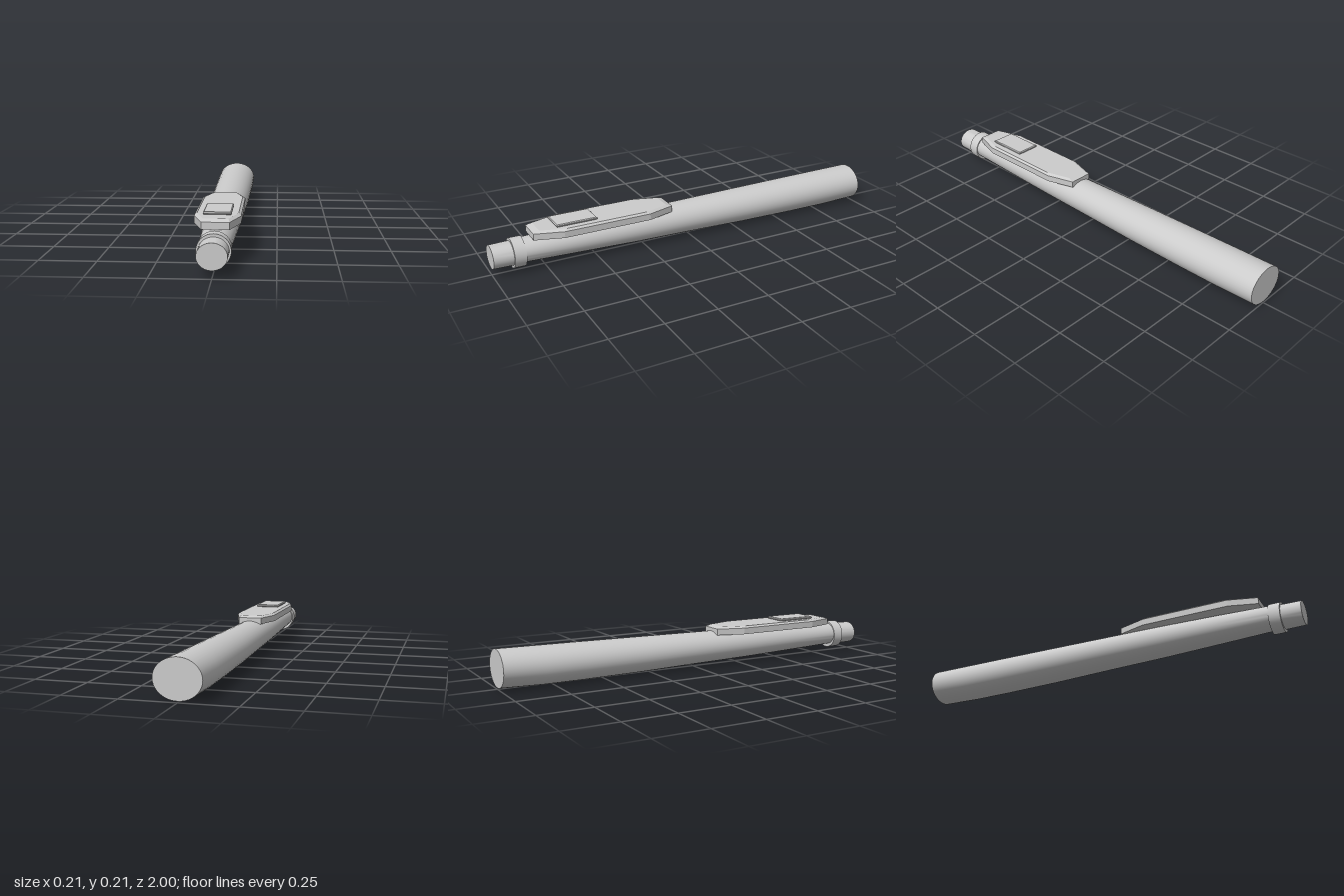
import * as THREE from 'three';
import { toCreasedNormals } from 'three/addons/utils/BufferGeometryUtils.js';

const material = new THREE.MeshStandardMaterial({ color: 0xcccccc });

// Skins rings of points (counter-clockwise about the direction of travel), closing both ends
function skin(name, rings, crease) {
  const n = rings[0].length;
  const positions = rings.flat(2);
  const index = [];
  for (let r = 0; r < rings.length - 1; r++) {
    for (let i = 0; i < n; i++) {
      const a = r * n + i, b = r * n + (i + 1) % n;
      index.push(a, b, b + n, a, b + n, a + n);
    }
  }
  const last = (rings.length - 1) * n;
  for (let i = 1; i < n - 1; i++) {
    index.push(0, i + 1, i, last, last + i, last + i + 1);
  }
  const geometry = new THREE.BufferGeometry();
  geometry.setAttribute('position', new THREE.Float32BufferAttribute(positions, 3));
  geometry.setIndex(index);
  const mesh = new THREE.Mesh(toCreasedNormals(geometry, crease), material);
  mesh.name = name;
  return mesh;
}

// Round part along z from stations [z, bottom, top, half width]
function roundPart(name, stations, sides = 40) {
  const rings = stations.map(([z, bottom, top, rx]) =>
    Array.from({ length: sides }, (_, i) => {
      const t = (i / sides) * Math.PI * 2;
      return [rx * Math.cos(t), (top + bottom) / 2 + (top - bottom) / 2 * Math.sin(t), z];
    }));
  return skin(name, rings, 0.6);
}

// Flat part stacked along y from layers [y, outline of [x, z]]
function flatPart(name, layers) {
  return skin(name, layers.map(([y, outline]) => outline.map(([x, z]) => [x, y, z])), 0.05);
}

// Long octagon with tapered ends
function plateOutline(half, endHalf, back, front, taper) {
  const right = [[half, front - taper], [half, back + taper], [endHalf, back]];
  const left = right.map(([x, z]) => [-x, z]).reverse();
  return [[endHalf, front], ...right, ...left, [-endHalf, front]];
}

function rectangle(half, back, front) {
  return [[half, front], [half, back], [-half, back], [-half, front]];
}

export function createModel() {
  const group = new THREE.Group();

  // Tapering handle, thickest at the back
  group.add(roundPart('handle', [
    [-1, 0.01, 0.186, 0.104],
    [-0.8, 0.004, 0.184, 0.104],
    [-0.6, 0.004, 0.182, 0.102],
    [-0.3, 0.008, 0.178, 0.098],
    [0, 0.016, 0.174, 0.091],
    [0.3, 0.022, 0.17, 0.084],
    [0.6, 0.032, 0.163, 0.075],
    [0.86, 0.041, 0.155, 0.066],
  ]));

  // Collar and tip at the front
  group.add(roundPart('collar', [[0.85, 0.022, 0.163, 0.071], [0.905, 0.022, 0.163, 0.071]]));
  group.add(roundPart('tip', [[0.9, 0.036, 0.15, 0.063], [1, 0.038, 0.148, 0.062]]));

  // Control plate with a bevelled top edge
  group.add(flatPart('controlPlate', [
    [0.158, plateOutline(0.099, 0.058, 0.11, 0.81, 0.135)],
    [0.189, plateOutline(0.099, 0.058, 0.11, 0.81, 0.135)],
    [0.198, plateOutline(0.088, 0.052, 0.14, 0.78, 0.12)],
  ]));

  // Raised button
  group.add(flatPart('button', [
    [0.197, rectangle(0.056, 0.504, 0.696)],
    [0.202, rectangle(0.06, 0.5, 0.7)],
    [0.206, rectangle(0.06, 0.5, 0.7)],
    [0.21, rectangle(0.056, 0.504, 0.696)],
  ]));

  return group;
}
